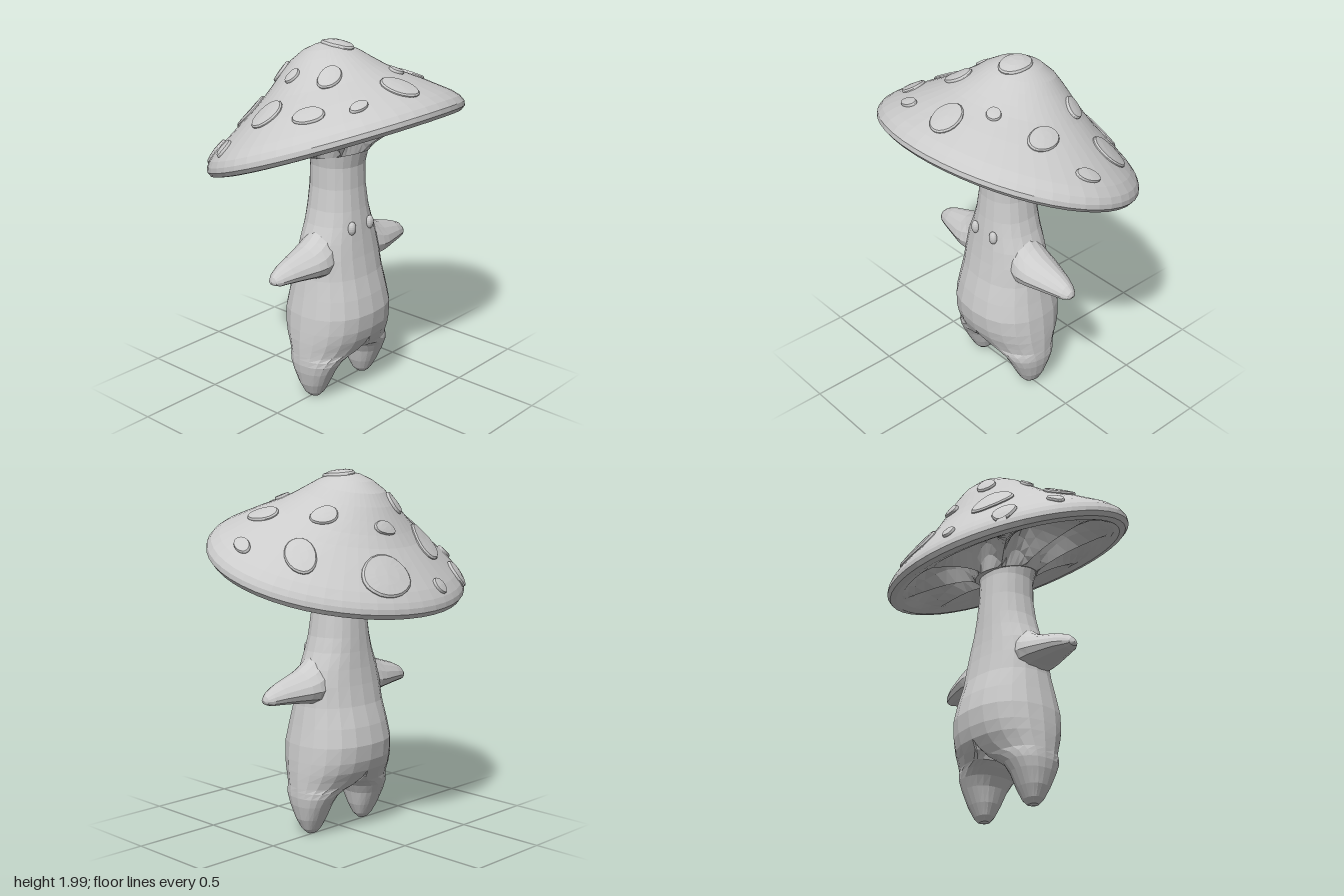
import * as THREE from 'three';

const { lerp } = THREE.MathUtils;
const V = (x, y, z) => new THREE.Vector3(x, y, z);
const grey = new THREE.MeshStandardMaterial({ color: 0xcccccc, flatShading: true });

// Skin a stack of closed loops, each running counter-clockwise seen from above
function loft(rings) {
  const n = rings[0].length, index = [];
  for (let r = 0; r < rings.length - 1; r++) {
    for (let i = 0; i < n; i++) {
      const a = r * n + i, b = r * n + (i + 1) % n;
      index.push(a, b, b + n, a, b + n, a + n);
    }
  }
  const g = new THREE.BufferGeometry().setFromPoints(rings.flat());
  g.setIndex(index);
  g.computeVertexNormals();
  return g;
}

// Elliptical loop given by its front and back points; it tilts when their heights differ
function ring(n, rx, zf, yf, zb = -zf, yb = yf) {
  return Array.from({ length: n }, (_, i) => {
    const a = (i / n) * Math.PI * 2, k = (1 - Math.sin(a)) / 2;
    return V(rx * Math.cos(a), lerp(yb, yf, k), lerp(zb, zf, k));
  });
}

// Half-body loop: a leg oval that opens into half of the torso outline as `merge` goes to 1
function halfRing(side, [y, inner, outer, zf, zb, merge = 1]) {
  const n = 20, boxy = (v) => Math.sign(v) * Math.pow(Math.abs(v), 0.88);
  return Array.from({ length: n }, (_, i) => {
    const a = (i / n) * Math.PI * 2;
    const out = boxy(Math.cos(a)) * side, front = -boxy(Math.sin(a));
    const oval = (inner + outer) / 2 + ((outer - inner) / 2) * out;
    return V(side * lerp(oval, outer * Math.max(out, 0), merge), y, front > 0 ? zf * front : -zb * front);
  });
}

// Arm loop at a given reach: an oval that is wider below than above
function armRing(side, [reach, cy, ry, rz]) {
  const n = 14;
  return Array.from({ length: n }, (_, i) => {
    const a = side * (i / n) * Math.PI * 2, up = Math.cos(a);
    return V(side * reach, cy + ry * up, rz * Math.sin(a) * (1 - 0.25 * up));
  });
}

function add(group, name, geometry) {
  const mesh = new THREE.Mesh(geometry, grey);
  mesh.name = name;
  group.add(mesh);
  return mesh;
}

// Closed cap: ribbed underside, rolled lip, then the tilted dome
function capGeometry() {
  const n = 48, rings = [ring(n, 0, 0, 1.45), ring(n, 0.13, 0.13, 1.43, -0.13, 1.37)];
  const collar = ring(n, 0.165, 0.18, 1.425, -0.18, 1.355);
  const lip = ring(n, 0.68, 0.54, 1.667, -0.53, 1.27);
  for (const u of [0, 0.06, 0.15, 0.27, 0.4, 0.55, 0.7, 0.83, 0.93, 1]) {
    rings.push(collar.map((p, i) => {
      const hollow = Math.pow(Math.abs(Math.sin((i / n) * Math.PI * 8)), 1.1);
      const q = p.clone().lerp(lip[i], u);
      q.y += Math.sin(Math.PI * Math.pow(u, 0.7)) * (0.025 + 0.175 * hollow);
      return q;
    }));
  }
  const dome = [ // half width, front z, front y, back z, back y
    [0.715, 0.57, 1.652, -0.565, 1.25], [0.752, 0.6, 1.664, -0.598, 1.253],
    [0.77, 0.618, 1.69, -0.614, 1.277], [0.768, 0.613, 1.715, -0.612, 1.305], [0.752, 0.585, 1.742, -0.6, 1.335],
    [0.71, 0.54, 1.765, -0.57, 1.385], [0.63, 0.47, 1.79, -0.52, 1.455],
    [0.55, 0.4, 1.815, -0.47, 1.525], [0.47, 0.335, 1.835, -0.42, 1.595],
    [0.39, 0.27, 1.857, -0.383, 1.66], [0.32, 0.215, 1.882, -0.347, 1.73],
    [0.25, 0.15, 1.915, -0.312, 1.8], [0.19, 0.09, 1.945, -0.268, 1.87],
    [0.12, 0.03, 1.968, -0.205, 1.93], [0.06, -0.03, 1.978, -0.14, 1.965], [0, -0.08, 1.98, -0.08, 1.98],
  ];
  dome.forEach((d) => rings.push(ring(n, ...d)));
  rings.flat().forEach((p) => { p.y -= 0.03 * p.x * p.x; }); // the sides droop a little
  return loft(rings);
}

// Thin rounded patch draped over the cap
function spotGeometry(cap, [x, z, rx, rz, turn = 0]) {
  const ray = new THREE.Raycaster(), down = V(0, -1, 0);
  const drop = (px, pz) => {
    ray.set(V(px, 3, pz), down);
    return ray.intersectObject(cap)[0];
  };
  const centre = drop(x, z), normal = centre.face.normal, n = 20;
  const layers = [[1, -0.012], [1.01, 0.006], [0.94, 0.014], [0.5, 0.016], [0, 0.017]];
  return loft(layers.map(([s, lift]) => ring(n, rx * s, rz * s, 0).map((p) => {
    p.applyAxisAngle(V(0, 1, 0), turn);
    const hit = drop(x + p.x, z + p.z) || centre;
    return hit.point.clone().addScaledVector(normal, lift);
  })));
}

export function createModel() {
  const model = new THREE.Group();
  model.name = 'mushroomCreature';

  const cap = add(model, 'cap', capGeometry());

  const spots = new THREE.Group();
  spots.name = 'capSpots';
  model.add(spots);
  [ // x, z, half width, half depth, turn
    [0.16, -0.495, 0.15, 0.072, -0.12], [-0.2, -0.545, 0.042, 0.025], [-0.5, -0.41, 0.065, 0.046, 0.7],
    [-0.31, -0.34, 0.115, 0.07, 0.7], [0.03, -0.362, 0.065, 0.018, -0.15], [-0.15, -0.26, 0.053, 0.037, 0.5],
    [-0.65, -0.19, 0.05, 0.03, 0.4], [-0.5, -0.03, 0.088, 0.076, 0.6], [-0.27, -0.07, 0.036, 0.036],
    [0.03, -0.03, 0.073, 0.098], [0.295, -0.185, 0.073, 0.038, -0.75], [0.51, -0.235, 0.077, 0.087],
    [0.645, 0.05, 0.035, 0.065, -0.3], [0.42, 0.14, 0.06, 0.095, 0.1], [0.18, 0.25, 0.04, 0.037],
    [-0.22, 0.14, 0.077, 0.058, 0.2], [-0.48, 0.235, 0.055, 0.082, 0.5], [-0.3, 0.405, 0.056, 0.032, -0.1],
    [0.01, 0.41, 0.082, 0.1, 0.5],
  ].forEach((s) => add(spots, 'spot', spotGeometry(cap, s)));

  // Leg, torso and neck of one side: height, inner x, outer x, front z, back z, merge
  const half = [
    [0.005, 0.203, 0.203, 0.015, 0.015, 0], [0.012, 0.173, 0.233, 0.04, -0.012, 0],
    [0.04, 0.145, 0.261, 0.065, -0.035, 0], [0.1, 0.118, 0.29, 0.097, -0.067, 0],
    [0.18, 0.095, 0.311, 0.135, -0.105, 0], [0.23, 0.07, 0.318, 0.16, -0.13, 0.04],
    [0.262, 0.03, 0.318, 0.178, -0.148, 0.2], [0.285, 0, 0.318, 0.192, -0.165, 0.6],
    [0.325, 0, 0.317, 0.217, -0.195, 0.9], [0.37, 0, 0.315, 0.24, -0.225], [0.43, 0, 0.31, 0.257, -0.245],
    [0.52, 0, 0.3, 0.265, -0.255], [0.62, 0, 0.28, 0.245, -0.235], [0.73, 0, 0.26, 0.215, -0.2],
    [0.84, 0, 0.25, 0.195, -0.18], [0.93, 0, 0.227, 0.182, -0.168], [1.02, 0, 0.19, 0.17, -0.16],
    [1.1, 0, 0.167, 0.158, -0.155], [1.22, 0, 0.149, 0.145, -0.147], [1.34, 0, 0.148, 0.142, -0.14],
    [1.42, 0, 0.162, 0.16, -0.145], [1.46, 0, 0.13, 0.13, -0.12],
  ];
  // Arms: reach, centre height, half height, half depth
  const arm = [
    [0.1, 0.885, 0.17, 0.1], [0.16, 0.876, 0.149, 0.115], [0.2, 0.86, 0.128, 0.123], [0.24, 0.848, 0.107, 0.125],
    [0.29, 0.84, 0.088, 0.118], [0.36, 0.833, 0.073, 0.098], [0.44, 0.824, 0.057, 0.074],
    [0.5, 0.812, 0.042, 0.05], [0.53, 0.804, 0.023, 0.028], [0.54, 0.8, 0, 0],
  ];
  for (const side of [1, -1]) {
    const label = side > 0 ? 'left' : 'right';
    add(model, label + 'BodyAndLeg', loft(half.map((row) => halfRing(side, row))));
    add(model, label + 'Arm', loft(arm.map((row) => armRing(side, row)))).position.z = 0.016;

    const eye = add(model, label + 'Eye', new THREE.SphereGeometry(1, 14, 10));
    eye.scale.set(0.025, 0.038, 0.02);
    eye.position.set(0.073 * side, 1.01, 0.168);
  }
  return model;
}
